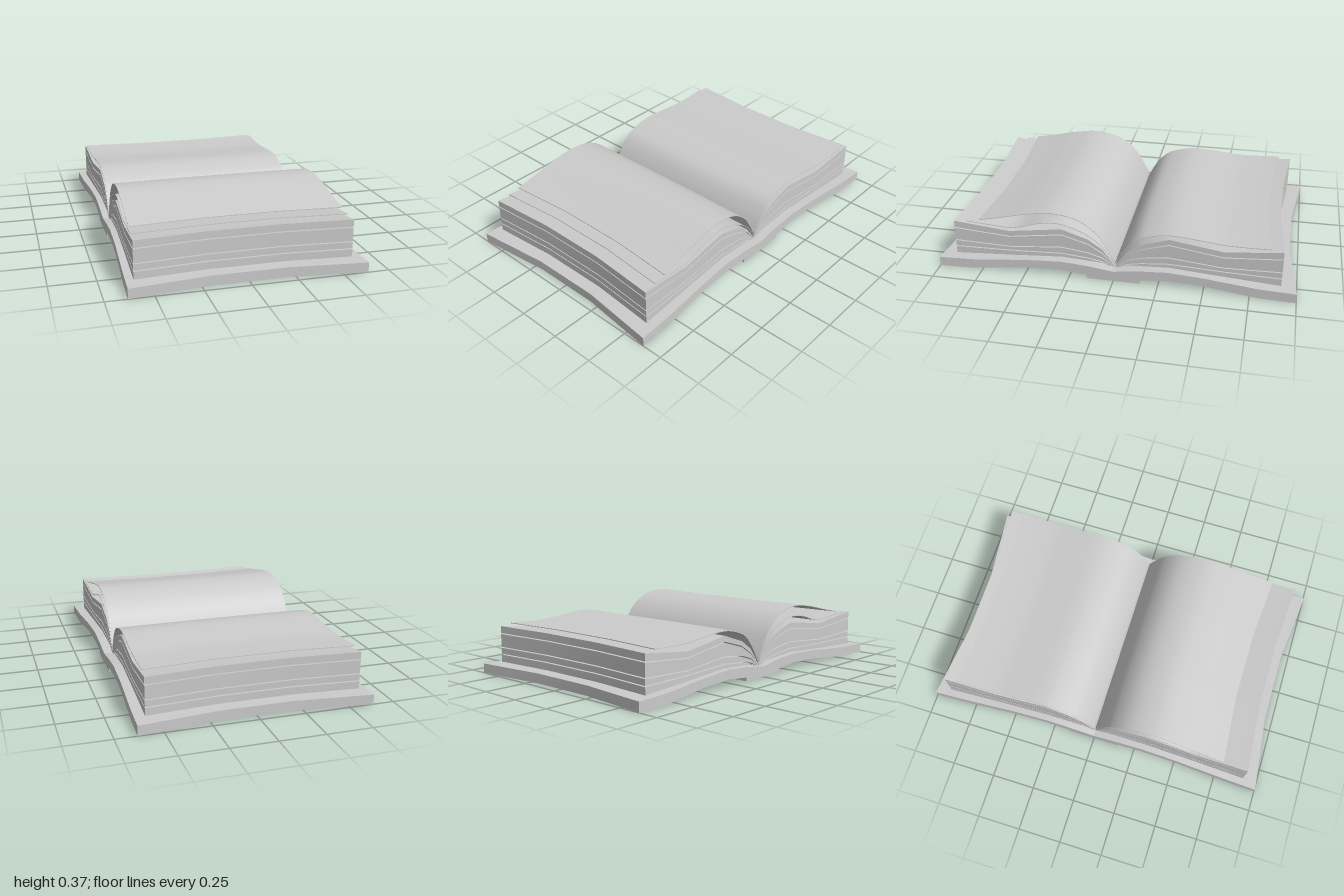
import * as THREE from 'three';
import { toCreasedNormals } from 'three/addons/utils/BufferGeometryUtils.js';

const grey = new THREE.MeshStandardMaterial({ color: 0xcccccc, side: THREE.DoubleSide });

// A slab running from the spine (z = 0) outwards to one side.
// rows: [z, bottom y, top y]; halfWidth(z) gives the half length in x;
// bow scales z in the middle third so the outer edge is hollow.
function leaf(name, rows, side, halfWidth, bow, offsetX = 0) {
  const n = rows.length - 1;
  const geo = new THREE.BoxGeometry(1, 1, 1, 3, 1, n);
  const p = geo.attributes.position;
  for (let i = 0; i < p.count; i++) {
    const x = p.getX(i);
    const [z, low, high] = rows[Math.round((side * p.getZ(i) + 0.5) * n)];
    const atEnd = Math.abs(x) > 0.4;
    p.setXYZ(i,
      Math.sign(x) * (atEnd ? halfWidth(z) : 0.2) + offsetX,
      p.getY(i) > 0 ? high : low,
      side * z * (atEnd ? 1 : bow));
  }
  const mesh = new THREE.Mesh(toCreasedNormals(geo, 0.6), grey);
  mesh.name = name;
  return mesh;
}

// Thin curved page following a smooth line of [z, y] points
function sheet(name, points, side) {
  const curve = new THREE.CatmullRomCurve3(points.map(([z, y]) => new THREE.Vector3(0, y, z)));
  const rows = curve.getPoints(28).map(v => [v.z, v.y - 0.004, v.y]);
  return leaf(name, rows, side, pageWidth, 0.963, -0.007);
}

const coverWidth = z => 0.608 + 0.026 * Math.max(0, (z - 0.4) / 0.6);
const pageWidth = z => 0.565 + 0.018 * (z / 0.915) ** 2;

export function createModel() {
  const book = new THREE.Group();
  book.name = 'openBook';

  // Spine strip under the covers
  const spine = new THREE.Mesh(new THREE.BoxGeometry(1.216, 0.04, 0.3), grey);
  spine.name = 'spine';
  spine.position.y = 0.02;
  book.add(spine);

  // Cover boards
  const cover = [
    [0, 0.02, 0.06], [0.15, 0.022, 0.08], [0.3, 0.036, 0.09],
    [0.5, 0.03, 0.08], [0.8, 0, 0.057], [1, 0, 0.055],
  ];
  // Heights of the page block boundaries at each distance from the spine
  const stations = [0.004, 0.07, 0.15, 0.3, 0.6, 0.915];
  const levels = [
    [0.055, 0.075, 0.08, 0.09, 0.072, 0.058],
    [0.06, 0.085, 0.1, 0.115, 0.105, 0.105],
    [0.063, 0.11, 0.135, 0.155, 0.13, 0.145],
    [0.068, 0.14, 0.19, 0.235, 0.195, 0.225],
    [0.073, 0.165, 0.22, 0.27, 0.23, 0.268],
  ];

  for (const side of [1, -1]) {
    const label = side > 0 ? 'front' : 'back';
    book.add(leaf(label + 'Cover', cover, side, coverWidth, 0.952));

    // Four bundles of pages with narrow gaps between them
    for (let k = 0; k < 4; k++) {
      const rows = stations.map((z, i) => [
        z,
        levels[k][i] + (i ? 0.003 : 0),
        levels[k + 1][i] - (i && k < 3 ? 0.003 : 0),
      ]);
      book.add(leaf(label + 'PageBundle' + (k + 1), rows, side, pageWidth, 0.967, -0.007));
    }
  }

  // Loose pages lifting off the bundles
  book.add(
    sheet('frontTopPage', [[0, 0.09], [0.04, 0.17], [0.1, 0.26], [0.2, 0.335], [0.35, 0.366],
      [0.5, 0.347], [0.64, 0.315], [0.77, 0.288]], 1),
    sheet('frontLowerPage', [[0, 0.08], [0.06, 0.17], [0.14, 0.24], [0.22, 0.28], [0.32, 0.306],
      [0.42, 0.297], [0.57, 0.256], [0.7, 0.262], [0.84, 0.275]], 1),
    sheet('backTopPage', [[0, 0.08], [0.05, 0.17], [0.12, 0.247], [0.2, 0.28], [0.3, 0.298],
      [0.45, 0.289], [0.6, 0.275], [0.72, 0.275], [0.845, 0.28]], -1),
  );
  return book;
}
